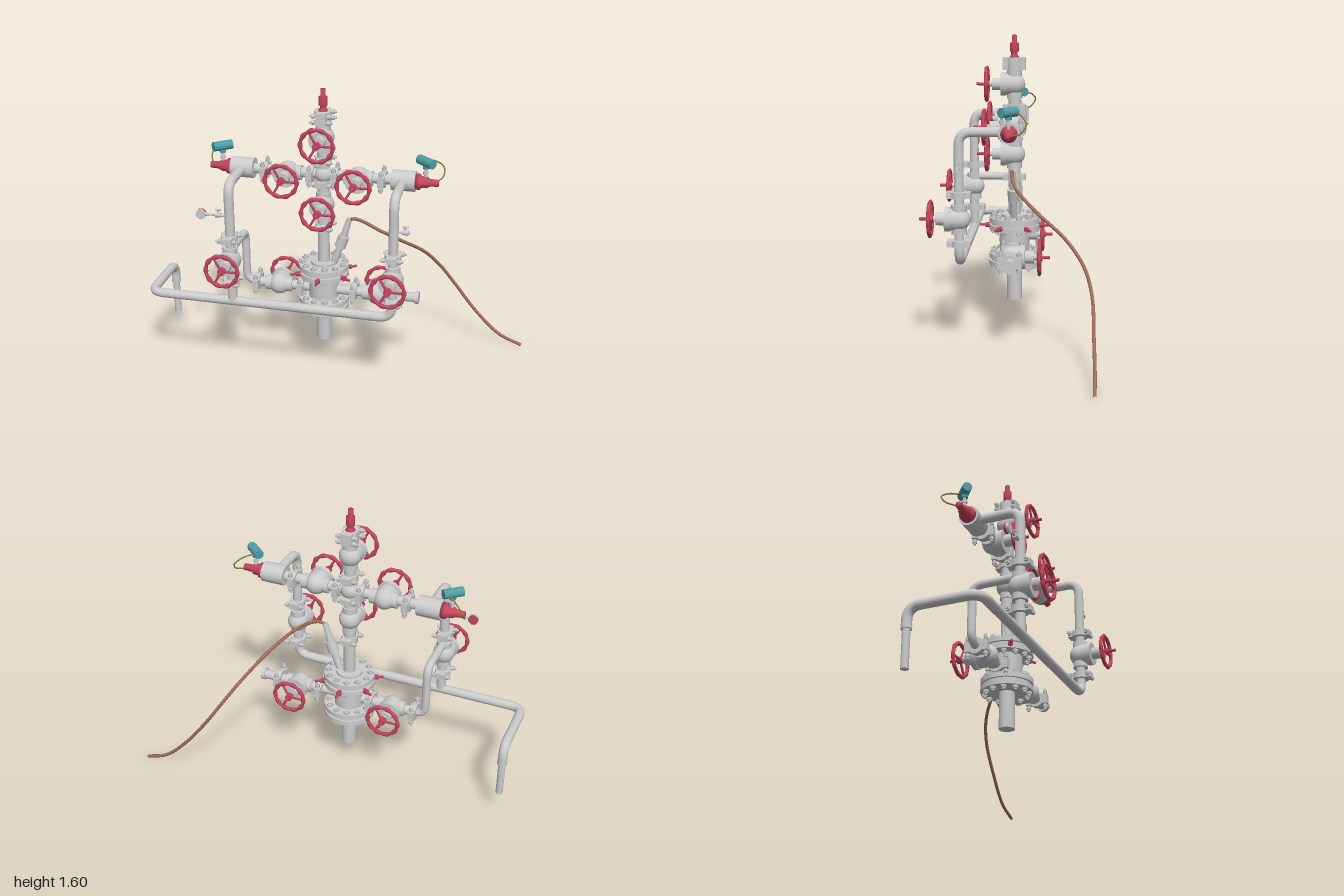
import * as THREE from 'three';

const mat = (color) => new THREE.MeshStandardMaterial({ color });
const GREY = mat(0xcccccc), RED = mat(0xc4455c), TEAL = mat(0x4f9ea6), WIRE = mat(0x8a8540), CABLE = mat(0xa06e5a);
const V = (x, y, z) => new THREE.Vector3(x, y, z);
const CX = -0.07, CZ = -0.012; // axis of the central column
const LX = -0.51, RX = 0.355, FZ = 0.245; // left riser, right riser, front plane
const WING = 1.14, LOW = 0.47;

function add(parent, name, geometry, material = GREY, pos = [0, 0, 0]) {
  const m = new THREE.Mesh(geometry, material);
  m.name = name;
  m.position.set(...pos);
  parent.add(m);
  return m;
}

// Capped cylinder from point a to point b
function rod(parent, name, a, b, r, material = GREY, r2 = r, sides = 24) {
  const d = b.clone().sub(a);
  const m = add(parent, name, new THREE.CylinderGeometry(r2, r, d.length(), sides), material);
  m.position.copy(a).addScaledVector(d, 0.5);
  m.quaternion.setFromUnitVectors(V(0, 1, 0), d.normalize());
  return m;
}

// Pipe through points with rounded elbows
function pipe(parent, name, pts, r, bend = 0.07) {
  const path = new THREE.CurvePath();
  let from = pts[0];
  for (let i = 1; i < pts.length - 1; i++) {
    const p = pts[i];
    const a = p.clone().addScaledVector(pts[i - 1].clone().sub(p).normalize(), bend);
    const b = p.clone().addScaledVector(pts[i + 1].clone().sub(p).normalize(), bend);
    path.add(new THREE.LineCurve3(from, a));
    path.add(new THREE.QuadraticBezierCurve3(a, p, b));
    from = b;
  }
  path.add(new THREE.LineCurve3(from, pts[pts.length - 1]));
  return add(parent, name, new THREE.TubeGeometry(path, Math.ceil(path.getLength() * 80), r, 18), GREY);
}

function cord(parent, name, pts, r, material) {
  const curve = new THREE.CatmullRomCurve3(pts.map((p) => V(...p)));
  return add(parent, name, new THREE.TubeGeometry(curve, 70, r, 10), material);
}

// Two-piece hub clamp around a vertical pipe, with eared bolts
function clamp(parent, x, y, z, alongX = false) {
  const g = new THREE.Group();
  g.name = 'hubClamp';
  g.position.set(x, y, z);
  if (alongX) g.rotation.z = Math.PI / 2;
  add(g, 'clampRing', new THREE.CylinderGeometry(0.043, 0.043, 0.034, 24));
  for (const s of [-1, 1]) {
    add(g, 'clampEar', new THREE.BoxGeometry(0.055, 0.032, 0.028), GREY, [0, 0, s * 0.047]);
    rod(g, 'clampBolt', V(-0.06, 0, s * 0.048), V(0.06, 0, s * 0.048), 0.007, GREY, 0.007, 8);
    for (const t of [-1, 1])
      rod(g, 'clampNut', V(t * 0.034, 0, s * 0.048), V(t * 0.05, 0, s * 0.048), 0.013, GREY, 0.013, 6);
  }
  parent.add(g);
}

// Handwheel with a scalloped rim, facing +z
function handwheel(parent, z) {
  const g = new THREE.Group();
  g.name = 'handwheel';
  g.position.z = z;
  const R = 0.085;
  const rim = new THREE.TorusGeometry(R, 0.011, 10, 80);
  const p = rim.attributes.position;
  for (let i = 0; i < p.count; i++) {
    const a = Math.atan2(p.getY(i), p.getX(i));
    const k = 1 + 0.25 * Math.cos(10 * a);
    const rad = R + (Math.hypot(p.getX(i), p.getY(i)) - R) * k;
    p.setXYZ(i, Math.cos(a) * rad, Math.sin(a) * rad, p.getZ(i) * 0.9);
  }
  rim.computeVertexNormals();
  add(g, 'wheelRim', rim, RED);
  for (let i = 0; i < 3; i++) {
    const a = (i * Math.PI * 2) / 3;
    rod(g, 'wheelSpoke', V(0, 0, 0), V(Math.cos(a) * R, Math.sin(a) * R, 0), 0.007, RED, 0.006, 10);
  }
  rod(g, 'wheelHub', V(0, 0, -0.015), V(0, 0, 0.015), 0.019, RED);
  rod(g, 'wheelStem', V(0, 0, 0.01), V(0, 0, 0.055), 0.008, RED);
  parent.add(g);
}

// Gate valve with bonnet and handwheel; turned = wheel to the back
function valve(parent, name, x, y, z, alongX, turned = false) {
  const g = new THREE.Group();
  g.name = name;
  g.position.set(x, y, z);
  if (turned) g.rotation.y = Math.PI;
  add(g, 'valveBody', new THREE.SphereGeometry(0.058, 24, 16));
  const e = alongX ? V(0.075, 0, 0) : V(0, 0.075, 0);
  rod(g, 'valveThroat', e.clone().negate(), e, 0.04);
  rod(g, 'bonnetNeck', V(0, 0, 0), V(0, 0, 0.05), 0.058);
  rod(g, 'bonnetFlange', V(0, 0, 0.045), V(0, 0, 0.072), 0.063);
  rod(g, 'bonnetCap', V(0, 0, 0.07), V(0, 0, 0.118), 0.032);
  rod(g, 'stemSleeve', V(0, 0, 0.115), V(0, 0, 0.14), 0.014);
  handwheel(g, 0.147);
  parent.add(g);
  for (const s of [-1, 1]) clamp(parent, x + (alongX ? s * 0.125 : 0), y + (alongX ? 0 : s * 0.125), z, alongX);
}

// Pair of bolted flange plates centred on height y
function flangePair(parent, y) {
  const g = new THREE.Group();
  g.name = 'boltedFlange';
  g.position.set(CX, y, CZ);
  for (const s of [-1, 1]) add(g, 'flangePlate', new THREE.CylinderGeometry(0.137, 0.137, 0.027, 40), GREY, [0, s * 0.02, 0]);
  add(g, 'flangeGasket', new THREE.CylinderGeometry(0.125, 0.125, 0.03, 40));
  for (let i = 0; i < 12; i++) {
    const a = ((i + 0.5) * Math.PI) / 6, x = Math.cos(a) * 0.115, z = Math.sin(a) * 0.115;
    rod(g, 'flangeStud', V(x, -0.056, z), V(x, 0.056, z), 0.009, GREY, 0.009, 8);
    for (const s of [-1, 1]) rod(g, 'flangeNut', V(x, s * 0.03, z), V(x, s * 0.048, z), 0.016, GREY, 0.016, 6);
  }
  parent.add(g);
}

// Choke with red end cap, transmitter and wire; s = side of the tree
function choke(parent, cx, s) {
  const g = new THREE.Group();
  g.name = 'choke';
  g.position.set(cx, WING, CZ);
  g.scale.x = s;
  rod(g, 'chokeBody', V(-0.065, 0, 0), V(0.06, 0, 0), 0.054, GREY, 0.054, 32);
  const cap = [[0, 0], [0.042, 0], [0.042, 0.025], [0.032, 0.03], [0.03, 0.06], [0.02, 0.075], [0.018, 0.12], [0, 0.12]];
  const m = add(g, 'chokeCap', new THREE.LatheGeometry(cap.map((q) => new THREE.Vector2(...q)), 24), RED, [0.058, 0, 0]);
  m.material = RED.clone();
  m.material.side = THREE.DoubleSide;
  m.rotation.z = -Math.PI / 2;
  rod(g, 'transmitterStem', V(0.11, 0.02, 0), V(0.11, 0.1, 0), 0.008);
  rod(g, 'transmitterCollar', V(0.11, 0.045, 0), V(0.11, 0.06, 0), 0.014);
  const c = V(0.11, 0.112, 0), d = V(0.04, 0, 0.034);
  rod(g, 'transmitter', c.clone().sub(d), c.clone().add(d), 0.025, TEAL);
  add(g, 'transmitterBase', new THREE.CylinderGeometry(0.017, 0.017, 0.03, 16), TEAL, [0.11, 0.09, 0]);
  cord(g, 'transmitterWire', [[0.1, 0.11, -0.03], [0.15, 0.095, -0.07], [0.19, 0.06, -0.09], [0.195, 0.02, -0.065], [0.165, 0, -0.01]], 0.004, WIRE);
  parent.add(g);
}

export function createModel() {
  const model = new THREE.Group();
  model.name = 'wellheadTree';
  const col = (name, y0, y1, r, m) => rod(model, name, V(CX, y0, CZ), V(CX, y1, CZ), r, m, r, 32);

  // Casing, wellhead and column
  col('casing', 0.165, 0.37, 0.041);
  col('casingHead', 0.38, 0.57, 0.08);
  col('tubingBonnet', 0.6, 0.64, 0.07);
  col('treeColumn', 0.6, 1.44, 0.032);
  flangePair(model, 0.395);
  flangePair(model, 0.592);
  for (let i = 0; i < 6; i++) {
    const a = (i * Math.PI) / 3, d = V(Math.sin(a), 0, Math.cos(a)), o = V(CX, 0.577, CZ);
    const at = (r) => o.clone().addScaledVector(d, r);
    rod(model, 'lockScrew', at(0.11), at(0.187), 0.007, RED, 0.007, 10);
    rod(model, 'lockScrewNut', at(0.13), at(0.157), 0.014, RED, 0.014, 6);
  }
  valve(model, 'swabValve', CX, 1.343, CZ, false);
  valve(model, 'masterValve', CX, 0.967, CZ, false);
  clamp(model, CX, 1.435, CZ);
  add(model, 'wingCross', new THREE.SphereGeometry(0.048, 24, 16), GREY, [CX, WING, CZ]);

  // Red top fitting
  const top = [[0, 1.45], [0.034, 1.45], [0.032, 1.475], [0.017, 1.5], [0.017, 1.515], [0.023, 1.515], [0.023, 1.56], [0.013, 1.565], [0.013, 1.602], [0, 1.602]];
  add(model, 'topFitting', new THREE.LatheGeometry(top.map((q) => new THREE.Vector2(...q)), 20), RED, [CX, 0, CZ]);

  // Wings, chokes and risers
  rod(model, 'wingPipe', V(LX, WING, CZ), V(RX, WING, CZ), 0.027);
  valve(model, 'leftHandWingValve', -0.262, WING - 0.005, CZ, true);
  valve(model, 'rightHandWingValve', 0.12, WING - 0.005, CZ, true);
  choke(model, LX, -1);
  choke(model, 0.36, 1);
  pipe(model, 'sideRiser', [V(LX, WING, CZ), V(LX, WING, FZ), V(LX, LOW, FZ)], 0.026);
  pipe(model, 'flowline', [V(RX, WING, CZ), V(RX, WING, FZ), V(RX, LOW, FZ), V(-0.975, LOW, FZ), V(-0.975, LOW, -0.115), V(-0.975, 0.36, -0.115)], 0.025);
  rod(model, 'flowlineLeg', V(-0.975, 0.165, -0.115), V(-0.975, 0.365, -0.115), 0.019);
  rod(model, 'flowlineCollar', V(-0.975, 0.357, -0.115), V(-0.975, 0.38, -0.115), 0.026);
  valve(model, 'sideRiserValve', LX - 0.005, 0.712, FZ, false);
  valve(model, 'flowlineValve', RX, 0.695, FZ, false);

  // Casing outlets, return line and blind hub
  rod(model, 'casingOutlet', V(-0.44, LOW, CZ), V(0.44, LOW, CZ), 0.026);
  valve(model, 'returnValve', -0.322, LOW, CZ, true, true);
  valve(model, 'outletValve', 0.225, LOW, CZ, true, true);
  rod(model, 'outletHub', V(0.435, LOW, CZ), V(0.457, LOW, CZ), 0.034);
  pipe(model, 'returnLine', [V(LX, 0.77, FZ), V(LX, 0.77, CZ), V(LX, LOW, CZ), V(-0.42, LOW, CZ)], 0.022, 0.06);

  // Pressure gauge and needle valves on the risers
  for (const [x, s, len] of [[LX, -1, 0.14], [RX, 1, 0.085]]) {
    const y = 0.963;
    rod(model, 'gaugeStem', V(x, y, FZ), V(x + s * len, y, FZ), 0.007, GREY, 0.007, 12);
    rod(model, 'needleValveBody', V(x + s * 0.045, y, FZ), V(x + s * 0.075, y, FZ), 0.013, GREY, 0.013, 12);
    rod(model, 'needleValveStem', V(x + s * 0.06, y, FZ), V(x + s * 0.06, y + 0.03, FZ), 0.005, GREY, 0.005, 8);
    rod(model, 'needleValveHandle', V(x + s * 0.045, y + 0.03, FZ), V(x + s * 0.075, y + 0.03, FZ), 0.006, GREY, 0.006, 8);
  }
  rod(model, 'gaugeDial', V(-0.665, 0.96, FZ - 0.002), V(-0.665, 0.96, FZ + 0.012), 0.026);
  rod(model, 'gaugeBack', V(-0.665, 0.96, FZ - 0.014), V(-0.665, 0.96, FZ - 0.002), 0.026, RED);

  // Cable gland and power cable
  rod(model, 'glandBase', V(-0.015, 0.63, CZ), V(0.025, 0.745, CZ), 0.019);
  rod(model, 'glandBody', V(0.02, 0.73, CZ), V(0.043, 0.795, CZ), 0.03);
  rod(model, 'glandSleeve', V(0.04, 0.79, CZ), V(0.072, 0.9, CZ), 0.02, GREY, 0.014);
  cord(model, 'powerCable', [[0.065, 0.88, CZ], [0.09, 0.9, -0.01], [0.14, 0.89, -0.012], [0.225, 0.84, -0.03], [0.33, 0.745, -0.13], [0.44, 0.61, -0.3],
    [0.52, 0.49, -0.39], [0.6, 0.37, -0.427], [0.735, 0.195, -0.436], [0.87, 0.065, -0.44], [1, 0.009, -0.437]], 0.009, CABLE);
  return model;
}
